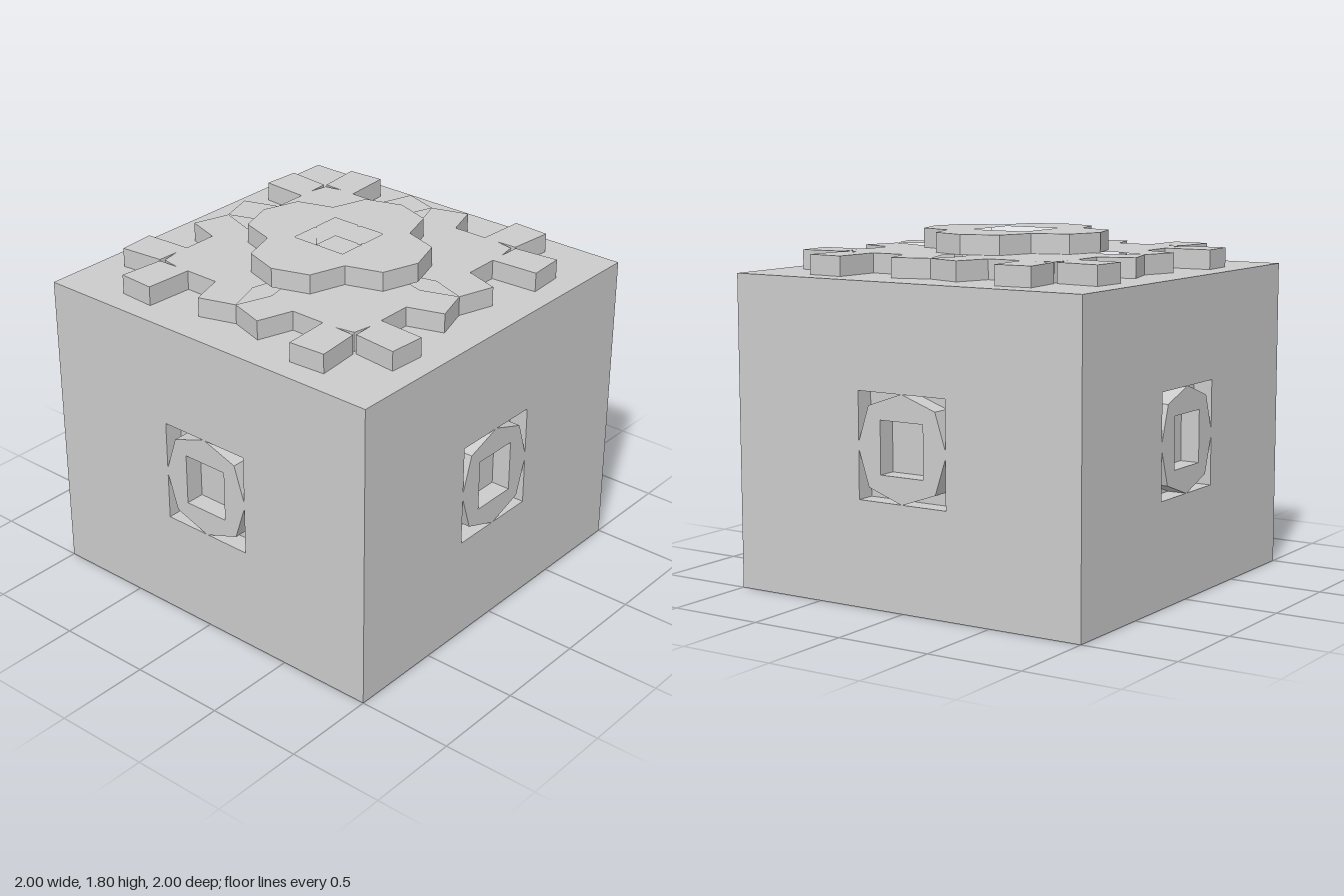
import * as THREE from 'three';

const stone = new THREE.MeshStandardMaterial({ color: 0xcccccc });
stone.name = 'plain grey';

const vec = (pts) => pts.map(([x, y]) => new THREE.Vector2(x, y));

// Completes a four-fold outline from an eighth that ends on the diagonal
function fourfold(eighth) {
  const mirrored = eighth.slice(1, -1).reverse().map(([x, y]) => [y, x]);
  return turns([...eighth, ...mirrored]).flat();
}

// Four copies of a point list, each turned a further quarter
function turns(pts) {
  const out = [pts];
  for (let i = 1; i < 4; i++) out.push(out[i - 1].map(([x, y]) => [y, -x]));
  return out;
}

function slab(name, outline, holes, depth) {
  const shape = new THREE.Shape(vec(outline));
  shape.holes = holes.map((h) => new THREE.Path(vec(h)));
  const geometry = new THREE.ExtrudeGeometry(shape, { depth, bevelEnabled: false });
  const mesh = new THREE.Mesh(geometry, stone);
  mesh.name = name;
  return mesh;
}

const rect = (x, y0, y1) => [[-x, y0], [x, y0], [x, y1], [-x, y1]];

export function createModel() {
  const model = new THREE.Group();
  model.name = 'carvedBlock';

  // Solid core behind the carved side walls
  const core = new THREE.Mesh(new THREE.BoxGeometry(1.8, 1.6, 1.8), stone);
  core.name = 'core';
  core.position.y = 0.8;
  model.add(core);

  // Side walls: a square socket and four carved corners around an octagonal boss
  const cy = 0.803, w = 0.255, h = 0.267;
  const corner = [[0.004, h], [0.195, 0.2], [w - 0.003, 0.025], [w, 0.025], [w, h]];
  const sideHoles = [rect(0.125, 0.67, 0.937)];
  for (const sx of [-1, 1]) for (const sy of [-1, 1]) {
    sideHoles.push(corner.map(([x, y]) => [sx * x, cy + sy * y]));
  }
  ['front', 'left', 'back', 'right'].forEach((side, i) => {
    const wall = slab(side + 'Wall', rect(i % 2 ? 0.9 : 1, 0, 1.6), sideHoles, 0.1);
    wall.geometry.translate(0, 0, 0.9);
    wall.rotation.y = (i * Math.PI) / 2;
    model.add(wall);
  });

  // Square socket through both top tiers, nicked at the middle of each side
  const socket = turns([[-0.01, 0.155], [0, 0.145], [0.01, 0.155], [0.155, 0.155]]).flat();

  // Lower tier: branching outline with slit corners and four pointed slots
  const lowerOutline = fourfold([
    [0, 0.752], [0.19, 0.812], [0.25, 0.628], [0.435, 0.628], [0.45, 0.878],
    [0.645, 0.866], [0.622, 0.632], [0.51, 0.628], [0.61, 0.61],
  ]);
  const slots = turns([[0, 0.747], [0.064, 0.565], [0.043, 0.48], [0, 0.38], [-0.043, 0.48], [-0.064, 0.565]]);
  const lower = slab('lowerTier', lowerOutline, [socket, ...slots], 0.1);

  // Upper tier: star-like rosette
  const upper = slab('upperTier', fourfold([[0, 0.5], [0.19, 0.437], [0.25, 0.25]]), [socket], 0.1);

  [lower, upper].forEach((tier, i) => {
    tier.rotation.x = -Math.PI / 2;
    tier.position.y = 1.6 + i * 0.1;
    model.add(tier);
  });

  return model;
}
